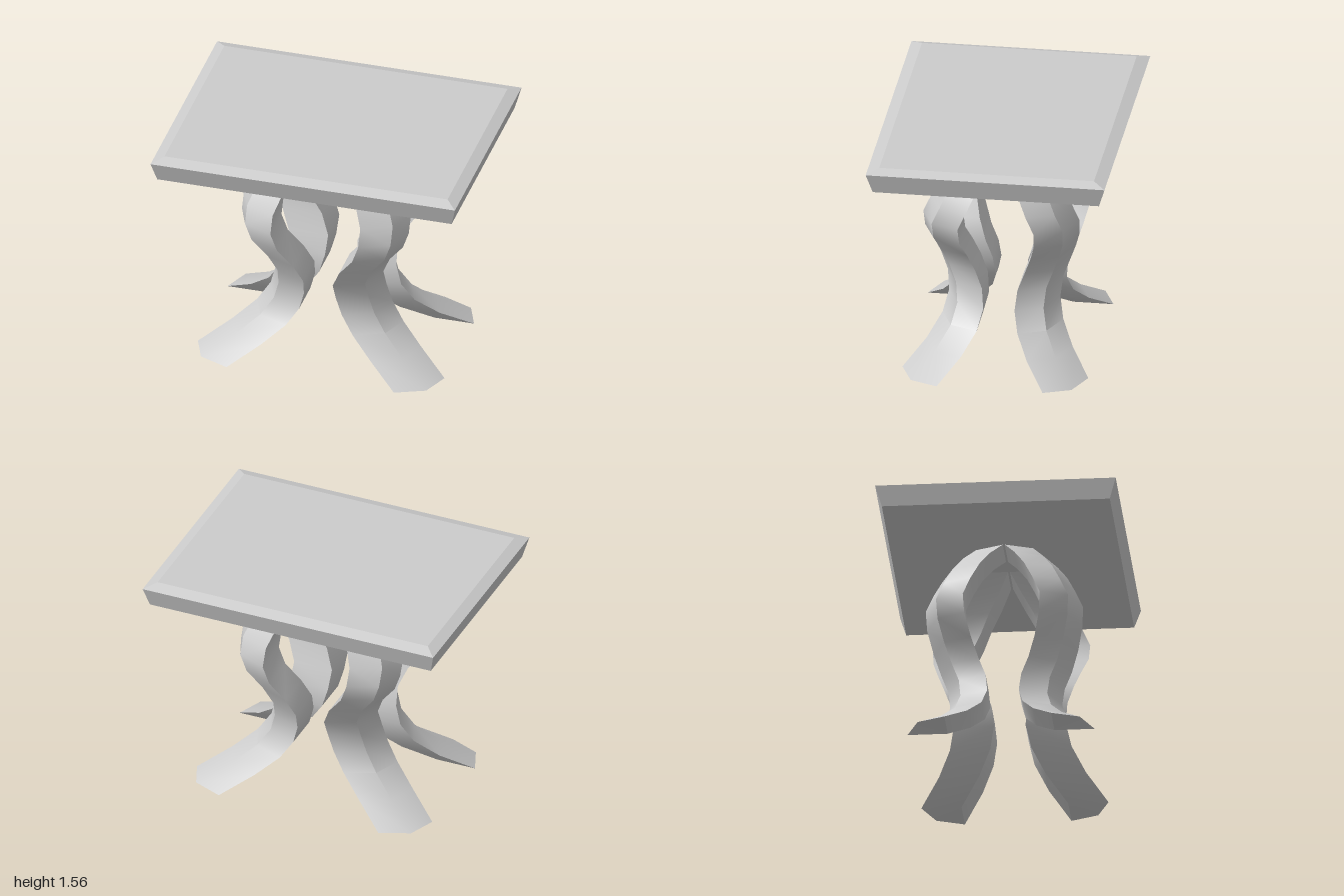
import * as THREE from 'three';
import { toCreasedNormals } from 'three/addons/utils/BufferGeometryUtils.js';

// Skin a stack of four-cornered horizontal rings, bottom to top, and cap both ends.
// Corners run from +x towards +z; flip reverses the faces of mirrored parts.
function loft(rings, crease, flip = false) {
  const index = [];
  const n = 4;
  const tri = (a, b, c) => index.push(...(flip ? [a, c, b] : [a, b, c]));
  for (let r = 0; r < rings.length - 1; r++) {
    for (let i = 0; i < n; i++) {
      const a = r * n + i, b = r * n + (i + 1) % n;
      tri(a, b + n, b);
      tri(a, a + n, b + n);
    }
  }
  const top = (rings.length - 1) * n;
  tri(0, 1, 2);
  tri(0, 2, 3);
  tri(top, top + 2, top + 1);
  tri(top, top + 3, top + 2);
  const geometry = new THREE.BufferGeometry();
  geometry.setAttribute('position', new THREE.Float32BufferAttribute(rings.flat(2), 3));
  geometry.setIndex(index);
  return toCreasedNormals(geometry, crease);
}

// Leg cross-section: square inner corner, blunt outer corner
const section = [[0, 0], [0.26, 0], [0.19, 0.175], [0, 0.255]];

// Height and the x, z of the inner corner along the leg
const legPath = [
  [0, 0.55, 0.338], [0.125, 0.36, 0.21], [0.245, 0.22, 0.13], [0.365, 0.14, 0.1],
  [0.49, 0.105, 0.113], [0.61, 0.097, 0.158], [0.735, 0.15, 0.202], [0.86, 0.247, 0.237],
  [0.975, 0.288, 0.243], [1.085, 0.288, 0.193], [1.2, 0.245, 0.14], [1.3, 0.187, 0.076],
  [1.41, 0.07, 0.003],
];

function legGeometry(sx, sz) {
  const rings = legPath.map(([y, x, z]) =>
    section.map(([u, v]) => [sx * (x + u), y, sz * (z + v)]));
  return loft(rings, 0.6, sx * sz < 0);
}

export function createModel() {
  const group = new THREE.Group();
  const material = new THREE.MeshStandardMaterial({ color: 0xcccccc });
  const add = (name, geometry) => {
    const mesh = new THREE.Mesh(geometry, material);
    mesh.name = name;
    group.add(mesh);
  };

  // Table top with undercut sides and a shallow bevel
  const slab = [[1.405, 0.967, 0.722], [1.535, 1, 0.762], [1.56, 0.93, 0.685]];
  add('tableTop', loft(slab.map(([y, x, z]) =>
    [[-x, y, -z], [x, y, -z], [x, y, z], [-x, y, z]]), 0.1));

  // Four curved legs, mirrored to the corners
  for (const [sx, side] of [[1, 'Left'], [-1, 'Right']]) {
    for (const [sz, end] of [[1, 'front'], [-1, 'back']]) {
      add(`${end}${side}Leg`, legGeometry(sx, sz));
    }
  }
  return group;
}
